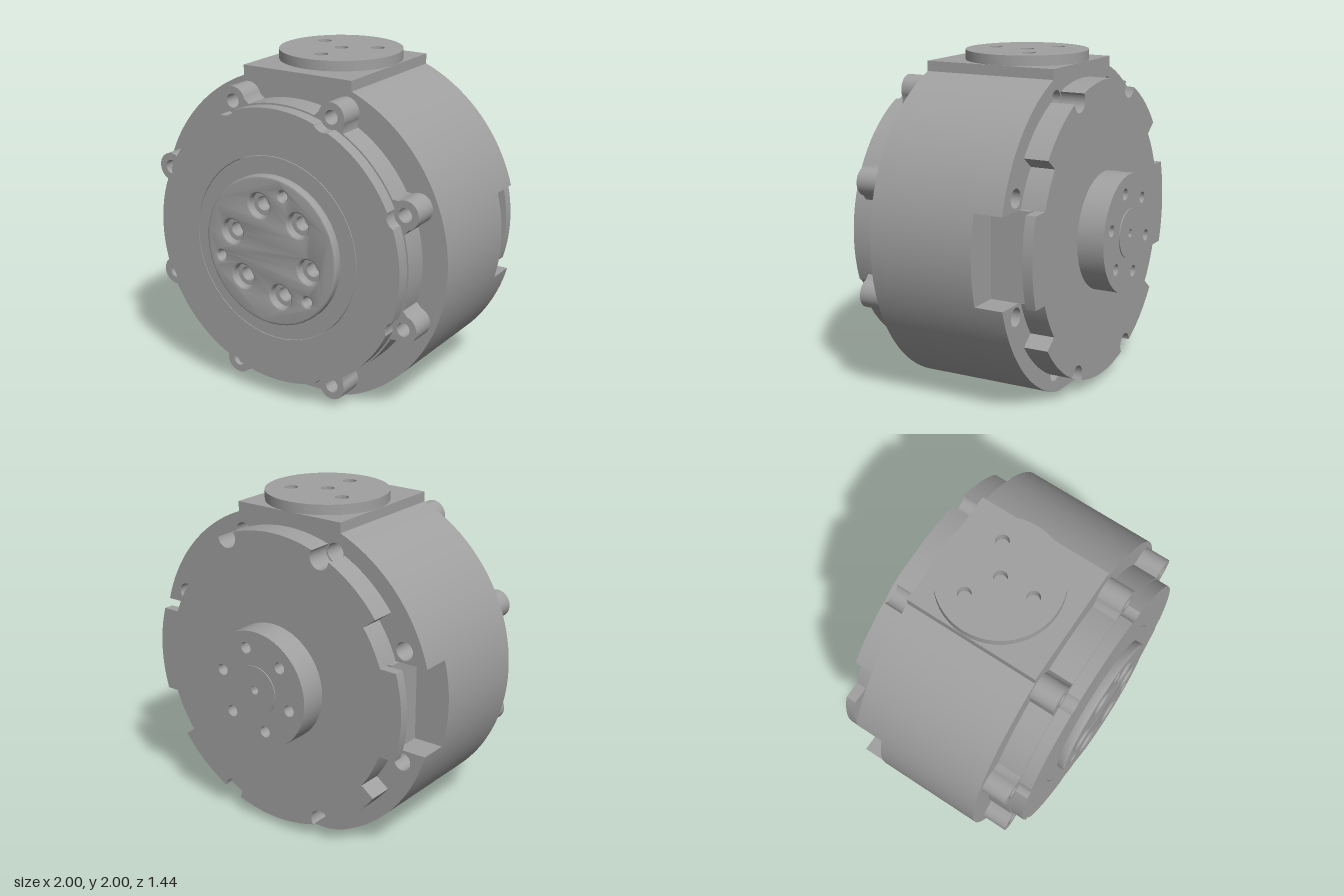
import * as THREE from 'three';
import { toCreasedNormals } from 'three/addons/utils/BufferGeometryUtils.js';

const rad = THREE.MathUtils.degToRad;
const AXIS_Y = 0.95;      // height of the main axis
const BOLT_R = 0.88;      // bolt circle
const boltAngles = Array.from({ length: 8 }, (_, i) => 22.5 + 45 * i);

const polar = (r, deg) => [r * Math.cos(rad(deg)), r * Math.sin(rad(deg))];
const arc = (s, r, a, b) => s.absarc(0, 0, r, rad(a), rad(b), false);

function addHole(shape, x, y, r) {
  const p = new THREE.Path();
  p.absarc(x, y, r, 0, Math.PI * 2, true);
  shape.holes.push(p);
}

function disc(r) {
  const s = new THREE.Shape();
  s.absarc(0, 0, r, 0, Math.PI * 2, false);
  return s;
}

// Round plate with scallops (grow = false) or round ears (grow = true) at the bolts
function boltedOutline(R, r, grow) {
  const s = new THREE.Shape();
  const d = Math.acos((R * R + BOLT_R * BOLT_R - r * r) / (2 * R * BOLT_R));
  const gap = grow ? d * 1.4 : d;
  boltAngles.forEach((deg) => {
    const a = rad(deg), [cx, cy] = polar(BOLT_R, deg);
    const t = Math.atan2(R * Math.sin(d), R * Math.cos(d) - BOLT_R);
    if (grow) s.absarc(cx, cy, r, a - t * 0.8, a + t * 0.8, false);
    else s.absarc(cx, cy, r, a - t, a + t, true);
    s.absarc(0, 0, R, a + gap, a + Math.PI / 4 - gap, false);
  });
  s.closePath();
  return s;
}

// Housing section: round, flat foot, square pad on top, optional side slots
function housingOutline(slotted) {
  const s = new THREE.Shape();
  const foot = Math.acos(0.4) * 180 / Math.PI, pad = Math.acos(0.37) * 180 / Math.PI;
  const slot = Math.asin(0.265) * 180 / Math.PI;
  s.moveTo(-0.25, -0.95);
  s.lineTo(0.25, -0.95);
  s.quadraticCurveTo(0.312, -0.95, ...polar(1, -foot));
  if (slotted) {
    arc(s, 1, -foot, -slot);
    s.lineTo(0.78, -0.265);
    s.lineTo(0.78, 0.265);
    arc(s, 1, slot, pad);
  } else arc(s, 1, -foot, pad);
  s.lineTo(0.37, 0.99);
  s.lineTo(-0.37, 0.99);
  if (slotted) {
    arc(s, 1, 180 - pad, 180 - slot);
    s.lineTo(-0.78, 0.265);
    s.lineTo(-0.78, -0.265);
    arc(s, 1, 180 + slot, 180 + foot);
  } else arc(s, 1, 180 - pad, 180 + foot);
  s.quadraticCurveTo(-0.312, -0.95, -0.25, -0.95);
  return s;
}

// Upper half of the rear plate edge, turned by a0: stepped corners and two scallops
function rearEdge(s, a0) {
  const R = 0.9, r = 0.065;
  const d = Math.acos((R * R + BOLT_R * BOLT_R - r * r) / (2 * R * BOLT_R)), dd = d * 180 / Math.PI;
  const t = Math.atan2(R * Math.sin(d), R * Math.cos(d) - BOLT_R);
  arc(s, 0.8, a0 + 19.4, a0 + 37);
  let from = 37;
  for (const deg of [67.5, 112.5]) {
    arc(s, R, a0 + from, a0 + deg - dd);
    const a = rad(a0 + deg);
    s.absarc(...polar(BOLT_R, a0 + deg), r, a - t, a + t, true);
    from = deg + dd;
  }
  arc(s, R, a0 + from, a0 + 143);
  arc(s, 0.8, a0 + 143, a0 + 160.6);
}

export function createModel() {
  const model = new THREE.Group();
  model.name = 'gearedActuator';
  const metal = new THREE.MeshStandardMaterial({ color: 0xa0a0a0 });
  metal.name = 'grey metal';

  const core = new THREE.Group();
  core.name = 'axisParts';
  core.position.y = AXIS_Y;
  model.add(core);

  function add(name, geometry, parent = core) {
    const m = new THREE.Mesh(geometry, metal);
    m.name = name;
    parent.add(m);
    return m;
  }
  // Extrude a section between two z positions
  function slab(name, shape, z0, z1, bevel = 0, seg = 24) {
    const g = new THREE.ExtrudeGeometry(shape, {
      depth: z1 - z0 - bevel, curveSegments: seg, bevelEnabled: bevel > 0,
      bevelSize: bevel, bevelThickness: bevel, bevelOffset: -bevel, bevelSegments: 3,
    });
    g.translate(0, 0, z0);
    return add(name, toCreasedNormals(g, 0.6));
  }

  // Housing: front with a cable recess, middle, slotted rear with bolt holes
  const front = housingOutline(false);
  const recess = new THREE.Path();
  recess.moveTo(-0.15, -0.8);
  recess.lineTo(-0.14, -0.88);
  recess.quadraticCurveTo(-0.13, -0.915, -0.09, -0.915);
  recess.lineTo(0.09, -0.915);
  recess.quadraticCurveTo(0.13, -0.915, 0.14, -0.88);
  recess.lineTo(0.15, -0.8);
  recess.closePath();
  front.holes.push(recess);
  slab('housingFront', front, 0.36, 0.435, 0, 48);
  slab('housingMiddle', housingOutline(false), -0.225, 0.36, 0, 48);
  const rear = housingOutline(true);
  boltAngles.forEach((a) => addHole(rear, ...polar(BOLT_R, a), 0.055));
  slab('housingRear', rear, -0.4, -0.225, 0, 48);

  // Front cover with bolt ears
  const ears = boltedOutline(0.84, 0.085, true);
  boltAngles.forEach((a) => addHole(ears, ...polar(BOLT_R, a), 0.042));
  slab('coverFlange', ears, 0.435, 0.59, 0, 12);
  const cap = boltedOutline(0.83, 0.07, false);
  addHole(cap, 0, 0, 0.557);
  slab('coverCap', cap, 0.59, 0.67);

  // Output flange: counterbored bolt holes and three dowel holes
  const seat = disc(0.553), output = disc(0.45);
  for (let i = 0; i < 6; i++) {
    const [x, y] = polar(0.274, 45 + 60 * i);
    addHole(seat, x, y, 0.043);
    addHole(output, x, y, 0.072);
  }
  for (let i = 0; i < 3; i++) {
    const [x, y] = polar(0.361, 75 + 120 * i);
    addHole(seat, x, y, 0.03);
    addHole(output, x, y, 0.03);
  }
  slab('outputSeat', seat, 0.59, 0.67);
  slab('outputFlange', output, 0.67, 0.72, 0.012);

  // Rear cover: thin plate, and walls above and below the open side windows
  const plate = new THREE.Shape();
  for (const a0 of [0, 180]) {
    arc(plate, 0.9, a0 - 17.1, a0 + 17.1);
    rearEdge(plate, a0);
  }
  plate.closePath();
  slab('rearPlate', plate, -0.55, -0.488);
  for (const [name, a0] of [['rearWallTop', 0], ['rearWallBottom', 180]]) {
    const wall = new THREE.Shape();
    rearEdge(wall, a0);
    wall.closePath();
    slab(name, wall, -0.488, -0.4);
  }
  const block = add('innerCore', new THREE.BoxGeometry(1.56, 0.53, 0.07));
  block.position.z = -0.435;

  // Rear hub with six bolt holes and a raised centre disc
  const hub = disc(0.357), centre = disc(0.148);
  for (let i = 0; i < 6; i++) addHole(hub, ...polar(0.255, 30 + 60 * i - 15), 0.035);
  addHole(hub, 0, 0, 0.025);
  addHole(centre, 0, 0, 0.025);
  slab('rearHub', hub, -0.715, -0.55);
  slab('hubCentre', centre, -0.722, -0.715);

  // Round mounting disc on the top pad
  const mount = disc(0.368);
  for (const [x, z] of [[-0.188, -0.11], [0.185, -0.11], [0, 0], [0, 0.215]]) addHole(mount, x, -z, 0.04);
  const top = slab('topMount', mount, 0, 0.06);
  top.rotation.x = -Math.PI / 2;
  top.position.set(0, 0.99, -0.033);

  return model;
}
